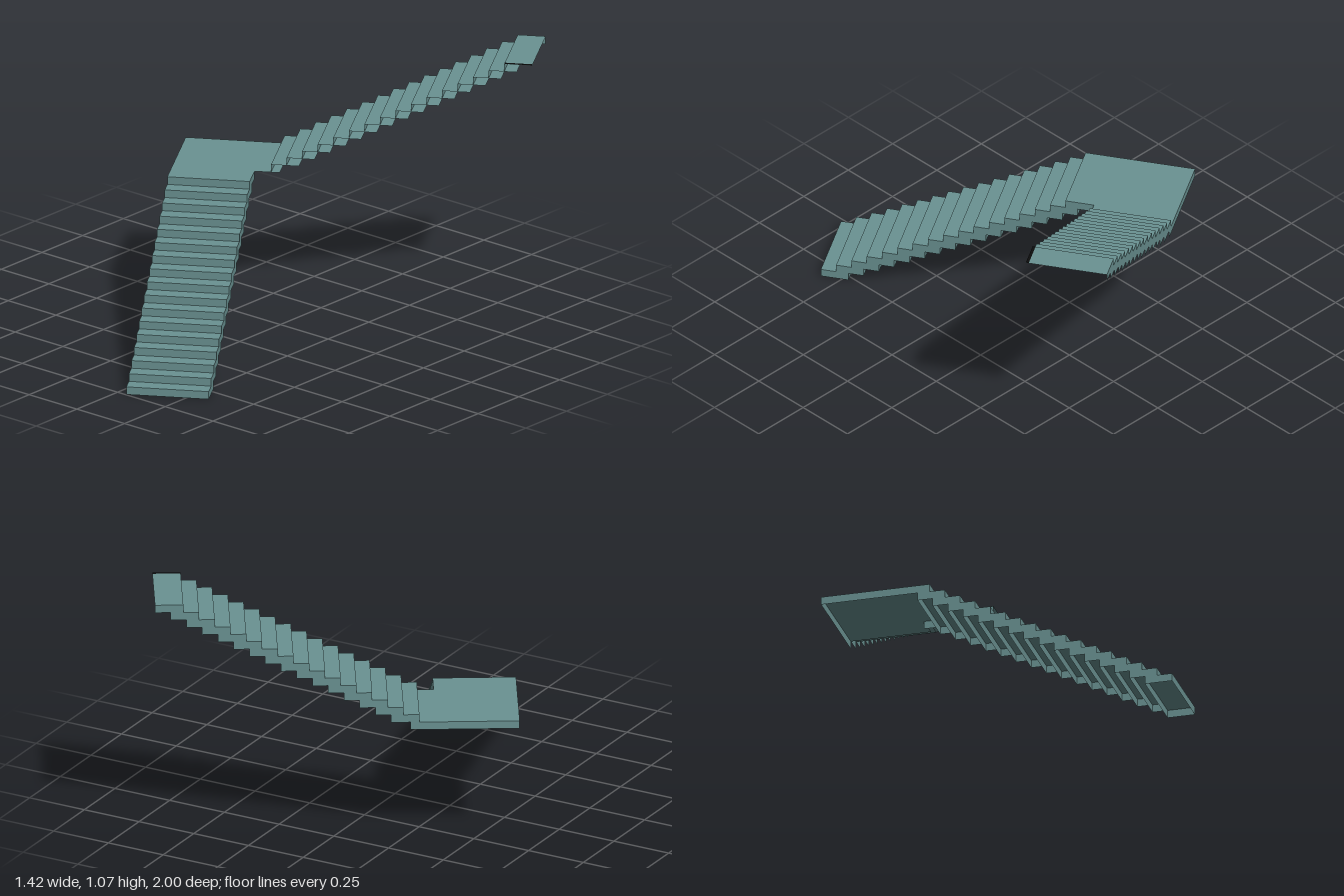
import * as THREE from 'three';

const STEPS = 16, RISE = 0.0325, TREAD = 0.0628, DEPTH = 0.113, WIDTH = 0.333, RUN = 1.455;

const stone = new THREE.MeshStandardMaterial({ color: 0x6a9292, side: THREE.DoubleSide });
stone.name = 'grey teal stone';
const dark = new THREE.MeshStandardMaterial({ color: 0x0c0c0c, side: THREE.DoubleSide });
dark.name = 'black edge';

// Open-bottomed slab: a top over an outline of [x, z] corners, with a wall under
// each outline edge except those listed in openEdges.
function slab(name, outline, y, openEdges = []) {
  const shape = new THREE.Shape(outline.map(([x, z]) => new THREE.Vector2(x, -z)));
  const top = new THREE.ShapeGeometry(shape).toNonIndexed();
  top.rotateX(-Math.PI / 2).translate(0, RISE, 0);
  const pos = Array.from(top.attributes.position.array);
  outline.forEach(([px, pz], i) => {
    if (openEdges.includes(i)) return;
    const [qx, qz] = outline[(i + 1) % outline.length];
    pos.push(px, 0, pz, qx, 0, qz, qx, RISE, qz);
    pos.push(px, 0, pz, qx, RISE, qz, px, RISE, pz);
  });
  const geo = new THREE.BufferGeometry();
  geo.setAttribute('position', new THREE.Float32BufferAttribute(pos, 3));
  geo.computeVertexNormals();
  const mesh = new THREE.Mesh(geo, stone);
  mesh.name = name;
  mesh.position.y = y;
  return mesh;
}

// Corners run left, front, right, back as seen from above
const rect = (x0, x1, z0, z1) => [[x0, z0], [x0, z1], [x1, z1], [x1, z0]];

export function createModel() {
  const model = new THREE.Group();
  model.name = 'staircase';

  // Plan is laid out square from the outer landing corner, then turned
  const plan = new THREE.Group();
  plan.name = 'stairs';
  plan.position.set(-0.709, 0, -0.249);
  plan.rotation.y = 0.543;
  model.add(plan);

  const lower = new THREE.Group();
  lower.name = 'lowerFlight';
  const upper = new THREE.Group();
  upper.name = 'upperFlight';
  plan.add(lower, upper);

  for (let i = 0; i < STEPS; i++) {
    // Lower flight climbs towards the landing
    const z1 = RUN - i * TREAD;
    lower.add(slab('lowerStep', rect(0, WIDTH, z1 - DEPTH, z1), i * RISE));
    // Upper flight climbs away from it, open on the inner side and far end
    const x1 = RUN - (STEPS - 1 - i) * TREAD;
    upper.add(slab('upperStep', rect(x1 - DEPTH, x1, 0, WIDTH), (STEPS + 1 + i) * RISE, [1, 2]));
  }

  // L-shaped landing at the turn
  const landEnd = RUN - STEPS * TREAD;
  plan.add(slab('landing', [
    [0, 0], [0, landEnd], [WIDTH, landEnd], [WIDTH, WIDTH], [0.435, WIDTH], [0.435, 0],
  ], STEPS * RISE, [3, 4]));

  // Thin dark strip along the inner edge of the top step
  const strip = new THREE.Mesh(new THREE.PlaneGeometry(DEPTH, 0.012).rotateX(-Math.PI / 2), dark);
  strip.name = 'topStepEdge';
  strip.position.set(RUN - DEPTH / 2, (2 * STEPS + 1) * RISE + 0.001, WIDTH - 0.006);
  plan.add(strip);

  return model;
}
